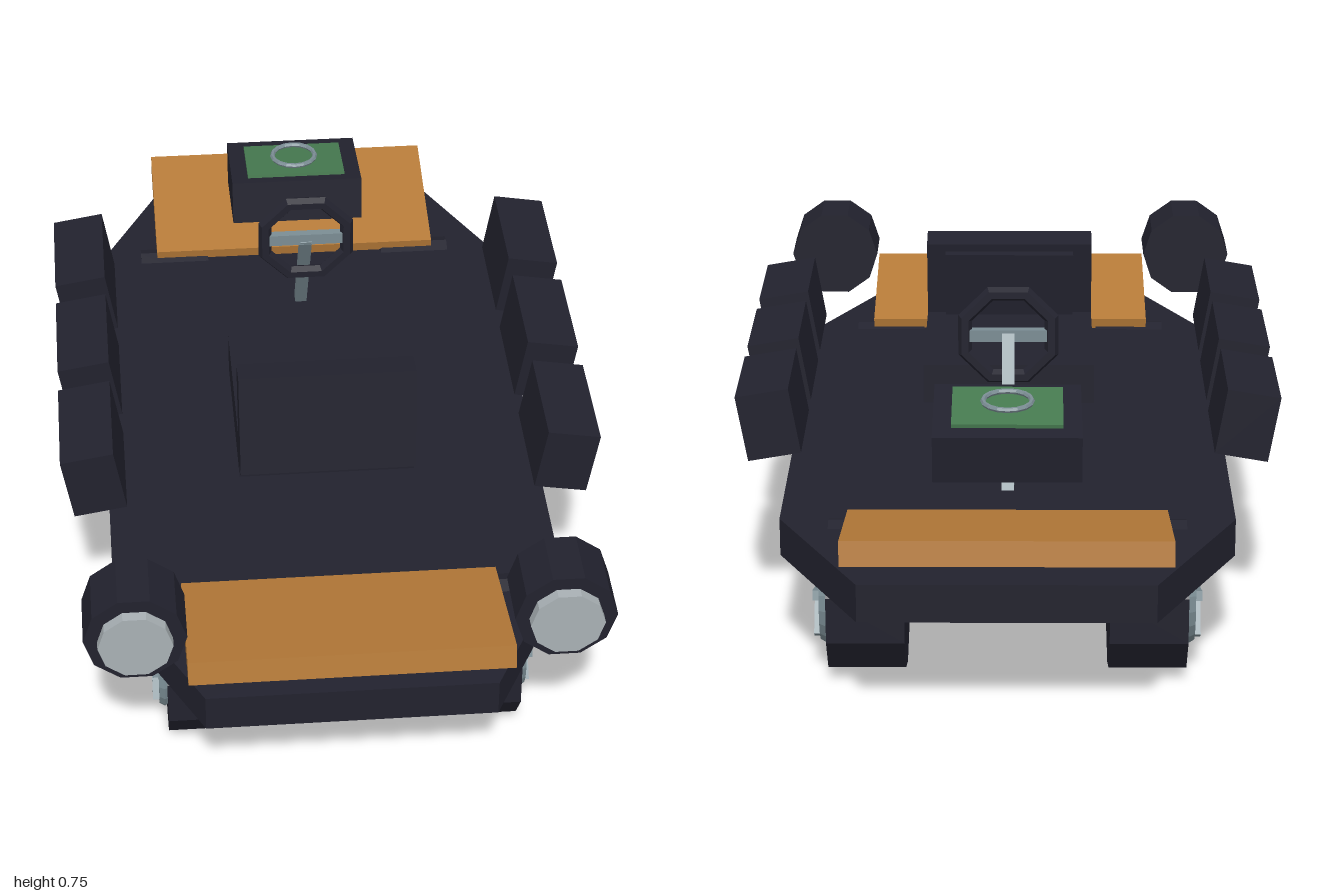
import * as THREE from 'three';

const mat = (name, color) => {
  const m = new THREE.MeshStandardMaterial({ color, flatShading: true });
  m.name = name;
  return m;
};

export function createModel() {
  const dark = mat('charcoal', 0x22222e);
  const wood = mat('orangeBrown', 0xb57a38);
  const steel = mat('blueSteel', 0x7b8d94);
  const pale = mat('paleGrey', 0xa9b1b5);
  const green = mat('green', 0x467a50);

  const model = new THREE.Group();
  const add = (name, geo, material, x, y, z, parent = model) => {
    const m = new THREE.Mesh(geo, material);
    m.name = name;
    m.position.set(x, y, z);
    parent.add(m);
    return m;
  };
  const box = (w, h, d) => new THREE.BoxGeometry(w, h, d);
  // Ten-sided drum with a corner on the x axis
  const drum = (r, h) => new THREE.CylinderGeometry(r, r, h, 10, 1, false, Math.PI / 2);

  // Floor plate with tapered ends
  const outline = [[0.5, 0.64], [0.315, 1], [-0.315, 1], [-0.5, 0.64],
    [-0.5, -0.64], [-0.315, -1], [0.315, -1], [0.5, -0.64]];
  const plate = new THREE.Shape(outline.map(([x, z]) => new THREE.Vector2(x, z)));
  add('floorPlate', new THREE.ExtrudeGeometry(plate, { depth: 0.086, bevelEnabled: false })
    .rotateX(Math.PI / 2), dark, 0, 0.33, 0);

  // Upturned boards at both ends
  for (const s of [1, -1]) {
    add(s > 0 ? 'frontBoard' : 'rearBoard', box(0.7, 0.055, 0.348), wood, 0, 0.363, s * 0.824)
      .rotation.x = -s * 0.2;
  }

  for (const s of [1, -1]) {
    const side = s > 0 ? 'left' : 'right';

    // Wheels with a five-spoke rim on the outer face
    for (const z of [0.673, -0.668]) {
      const wheel = new THREE.Group();
      wheel.name = side + (z > 0 ? 'FrontWheel' : 'RearWheel');
      wheel.position.set(s * 0.306, 0.17, z);
      model.add(wheel);
      add('tyre', drum(0.17, 0.17).rotateZ(Math.PI / 2), dark, 0, 0, 0, wheel);
      add('rim', new THREE.TorusGeometry(0.1, 0.014, 6, 20).rotateY(Math.PI / 2),
        steel, s * 0.091, 0, 0, wheel);
      for (let i = 0; i < 5; i++) {
        const spoke = box(0.034, 0.1, 0.022).translate(0, 0.048, 0).rotateX(i * Math.PI * 0.4);
        add('spoke', spoke, steel, s * 0.1, 0, 0, wheel);
      }
    }

    // Headlamp
    add(side + 'LampHousing', drum(0.11, 0.138).rotateX(Math.PI / 2), dark, s * 0.458, 0.475, 0.894);
    add(side + 'LampLens', drum(0.08, 0.03).rotateX(Math.PI / 2), pale, s * 0.458, 0.475, 0.973);

    // Disc below the floor
    add(side + 'UnderDisc', drum(0.137, 0.067), pale, s * 0.333, 0.197, 0.41);

    // Row of outward-leaning side boxes
    for (const z of [0.326, -0.018, -0.361]) {
      add(side + 'SideBox', box(0.12, 0.153, 0.272), dark, s * 0.532, 0.495, z)
        .rotation.z = -s * 0.17;
    }
  }

  // Seat
  add('seatBase', box(0.4, 0.094, 0.42), dark, 0, 0.444, 0.124);
  const back = new THREE.Group();
  back.name = 'seatBack';
  back.position.set(0, 0.558, 0.33);
  back.rotation.x = -0.15;
  model.add(back);
  add('backSlab', box(0.4, 0.245, 0.075), dark, 0, 0, 0, back);
  add('backPad', box(0.31, 0.19, 0.02), dark, 0, 0.008, -0.0475, back);

  // Steering wheel, crossbar and column
  add('steeringRing', new THREE.TorusGeometry(0.106, 0.017, 6, 8).rotateZ(Math.PI / 8),
    dark, 0, 0.632, -0.278);
  add('steeringBar', box(0.19, 0.028, 0.02), steel, 0, 0.632, -0.278);
  const top = new THREE.Vector3(0, 0.632, -0.278);
  const foot = new THREE.Vector3(0, 0.32, -0.462);
  const mid = top.clone().add(foot).multiplyScalar(0.5);
  add('steeringColumn', box(0.028, top.distanceTo(foot), 0.028), steel, 0, mid.y, mid.z)
    .rotation.x = Math.atan2(top.z - foot.z, top.y - foot.y);

  // Tilted console with a green panel and a ring
  const consoleGroup = new THREE.Group();
  consoleGroup.name = 'console';
  consoleGroup.position.set(0, 0.543, -0.668);
  consoleGroup.rotation.x = -0.14;
  model.add(consoleGroup);
  add('consoleBox', box(0.32, 0.108, 0.243), dark, 0, 0, 0, consoleGroup);
  add('consolePanel', box(0.24, 0.009, 0.172), green, 0, 0.058, 0.008, consoleGroup);
  add('consoleRing', new THREE.TorusGeometry(0.053, 0.006, 6, 16).rotateX(Math.PI / 2),
    steel, 0, 0.617, -0.668).rotation.x = -0.05;

  return model;
}
